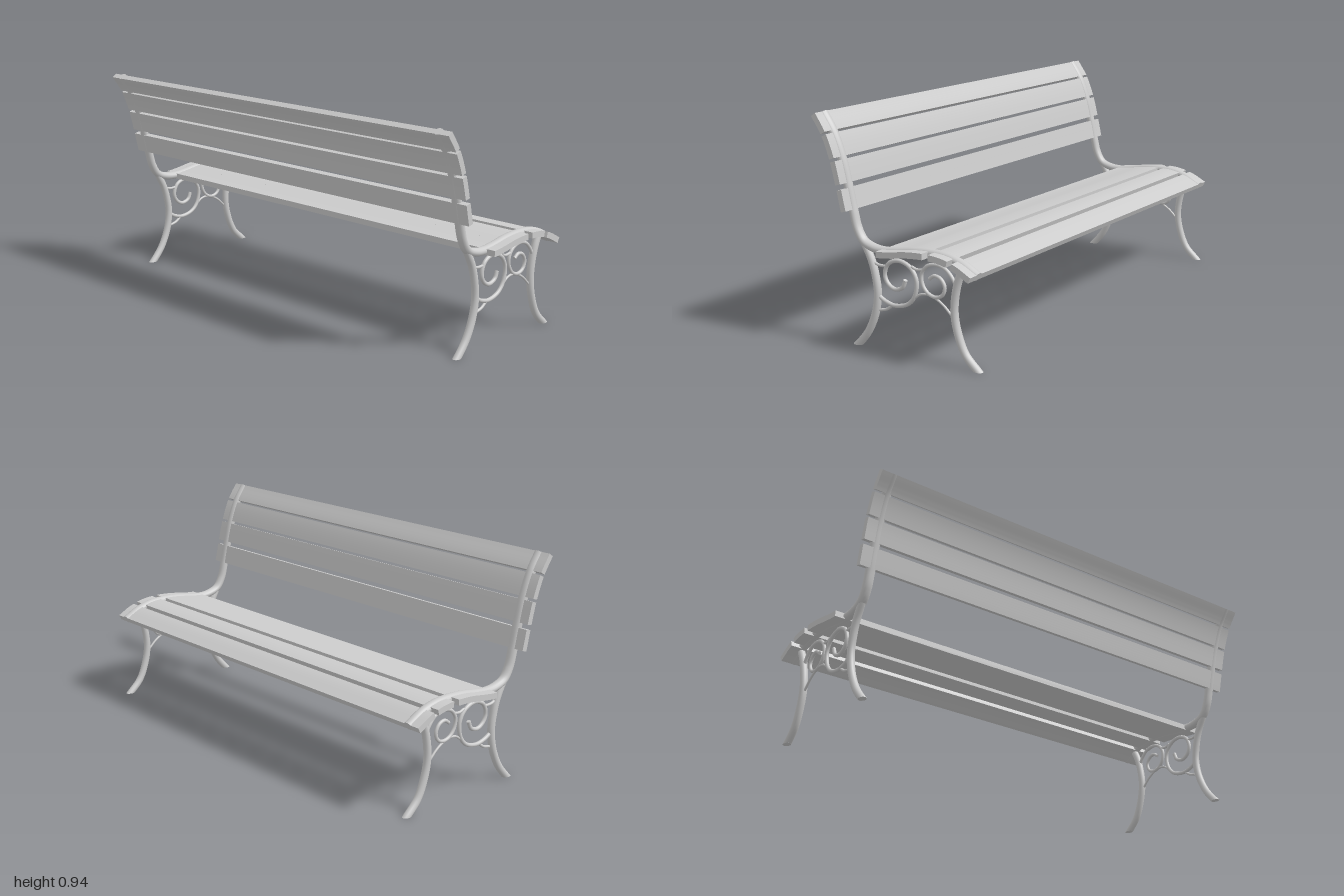
import * as THREE from 'three';
import { toCreasedNormals } from 'three/addons/utils/BufferGeometryUtils.js';

const material = new THREE.MeshStandardMaterial({ color: 0xcccccc });

const makeCurve = (pts) =>
  new THREE.CatmullRomCurve3(pts.map(([x, y]) => new THREE.Vector3(x, y, 0)), false, 'centripetal');

// Side profile of the rail, from the top of the back to the front of the seat
const railCurve = makeCurve([
  [-0.374, 0.931], [-0.325, 0.858], [-0.285, 0.76], [-0.257, 0.654], [-0.234, 0.555],
  [-0.213, 0.48], [-0.183, 0.435], [-0.133, 0.415], [-0.076, 0.41], [-0.01, 0.417],
  [0.066, 0.429], [0.153, 0.434], [0.227, 0.429], [0.295, 0.41], [0.364, 0.375],
]);

const legs = {
  backLeg: [[-0.24, -0.012], [-0.228, 0], [-0.175, 0.062], [-0.136, 0.144], [-0.121, 0.231],
    [-0.131, 0.306], [-0.15, 0.368], [-0.183, 0.43]],
  frontLeg: [[0.372, -0.012], [0.36, 0], [0.302, 0.057], [0.265, 0.144], [0.2525, 0.219],
    [0.26, 0.294], [0.277, 0.356], [0.3, 0.405]],
};

const ironwork = {
  backScroll: [0.0085, [[0.019, 0.306], [0.004, 0.274], [-0.034, 0.261], [-0.068, 0.279], [-0.083, 0.313],
    [-0.068, 0.356], [-0.034, 0.376], [0.004, 0.378], [0.049, 0.356], [0.073, 0.311], [0.063, 0.249],
    [0.029, 0.211], [-0.034, 0.194], [-0.083, 0.204], [-0.11, 0.218]]],
  frontScroll: [0.0075, [[0.136, 0.331], [0.16, 0.346], [0.19, 0.338], [0.208, 0.308], [0.198, 0.276],
    [0.166, 0.261], [0.128, 0.271], [0.103, 0.301], [0.098, 0.343], [0.123, 0.378], [0.166, 0.391],
    [0.208, 0.383], [0.24, 0.356], [0.26, 0.325]]],
  upperBackTie: [0.006, [[-0.14, 0.358], [-0.113, 0.348], [-0.075, 0.348]]],
  upperMiddleTie: [0.006, [[0.05, 0.366], [0.073, 0.358], [0.103, 0.361]]],
  lowerBackTie: [0.006, [[-0.112, 0.163], [-0.078, 0.172], [-0.05, 0.191]]],
  lowerFrontTie: [0.005, [[0.065, 0.243], [0.09, 0.26], [0.12, 0.266], [0.16, 0.258], [0.2, 0.236], [0.24, 0.2]]],
};

// Round bar along a curve, closed with a flat cap at both ends
function bar(name, curve, radius, segments, depth = 1) {
  const group = new THREE.Group();
  group.name = name;
  const geometry = new THREE.TubeGeometry(curve, segments, radius, 14);
  group.add(new THREE.Mesh(geometry, material));
  for (const [t, sign] of [[0, -1], [1, 1]]) {
    const cap = new THREE.Mesh(new THREE.CircleGeometry(radius, 14), material);
    cap.position.copy(curve.getPointAt(t));
    cap.lookAt(cap.position.clone().addScaledVector(curve.getTangentAt(t), sign));
    group.add(cap);
  }
  group.scale.z = depth;
  return group;
}

// Leg whose foot is cut level with the ground
function leg(name, pts) {
  const radius = 0.016;
  const geometry = new THREE.TubeGeometry(makeCurve(pts), 40, radius, 14);
  const p = geometry.attributes.position;
  const slope = (pts[2][0] - pts[1][0]) / (pts[2][1] - pts[1][1]);
  for (let i = 0; i < p.count; i++) {
    const y = p.getY(i);
    // slide the lowest ring along the leg until it meets the floor
    if (y < 0 || i < 15) p.setXYZ(i, p.getX(i) - y * slope, 0, p.getZ(i));
  }
  const group = new THREE.Group();
  group.name = name;
  group.add(new THREE.Mesh(geometry, material));
  const sole = new THREE.Mesh(new THREE.CircleGeometry(radius, 14), material);
  sole.rotation.x = Math.PI / 2;
  sole.scale.x = 1.3;
  sole.position.set(pts[1][0], 0.0005, 0);
  group.add(sole);
  return group;
}

// Curve parameter where the profile reaches a given x or y
function findU(axis, value) {
  let best = 0;
  let error = Infinity;
  for (let i = 0; i <= 1000; i++) {
    const d = Math.abs(railCurve.getPointAt(i / 1000)[axis] - value);
    if (d < error) [best, error] = [i / 1000, d];
  }
  return best;
}

// Slat bent to follow the rail profile
function slat(name, u0, u1) {
  const n = 8;
  const upper = [];
  const lower = [];
  for (let i = 0; i <= n; i++) {
    const u = u0 + ((u1 - u0) * i) / n;
    const p = railCurve.getPointAt(u);
    const t = railCurve.getTangentAt(u);
    const at = (d) => new THREE.Vector2(p.x - t.y * d, p.y + t.x * d);
    upper.push(at(0.01));
    lower.push(at(-0.015));
  }
  const shape = new THREE.Shape([...lower, ...upper.reverse()]);
  const geometry = new THREE.ExtrudeGeometry(shape, { depth: 2, bevelEnabled: false });
  geometry.translate(0, 0, -1);
  const mesh = new THREE.Mesh(toCreasedNormals(geometry, 0.6), material);
  mesh.name = name;
  return mesh;
}

export function createModel() {
  const bench = new THREE.Group();
  bench.name = 'bench';

  // Slats of the back and seat
  for (const [top, bottom] of [[0.935, 0.862], [0.853, 0.763], [0.752, 0.662], [0.642, 0.557]]) {
    bench.add(slat('backSlat', findU('y', top), findU('y', bottom)));
  }
  const seatStart = findU('y', 0.43);
  for (const [x0, x1] of [[-0.168, -0.08], [-0.06, 0.027], [0.055, 0.145], [0.172, 0.26], [0.28, 0.364]]) {
    bench.add(slat('seatSlat', Math.max(seatStart, findU('x', x0)), findU('x', x1)));
  }

  // Two iron end frames
  for (const side of [-1, 1]) {
    const frame = new THREE.Group();
    frame.name = side > 0 ? 'leftEndFrame' : 'rightEndFrame';
    frame.position.z = side * 0.942;
    frame.add(bar('rail', railCurve, 0.0175, 100, 1.2));
    for (const [name, pts] of Object.entries(legs)) frame.add(leg(name, pts));
    for (const [name, [radius, pts]] of Object.entries(ironwork)) {
      frame.add(bar(name, makeCurve(pts), radius, pts.length * 6));
    }
    bench.add(frame);
  }
  return bench;
}
